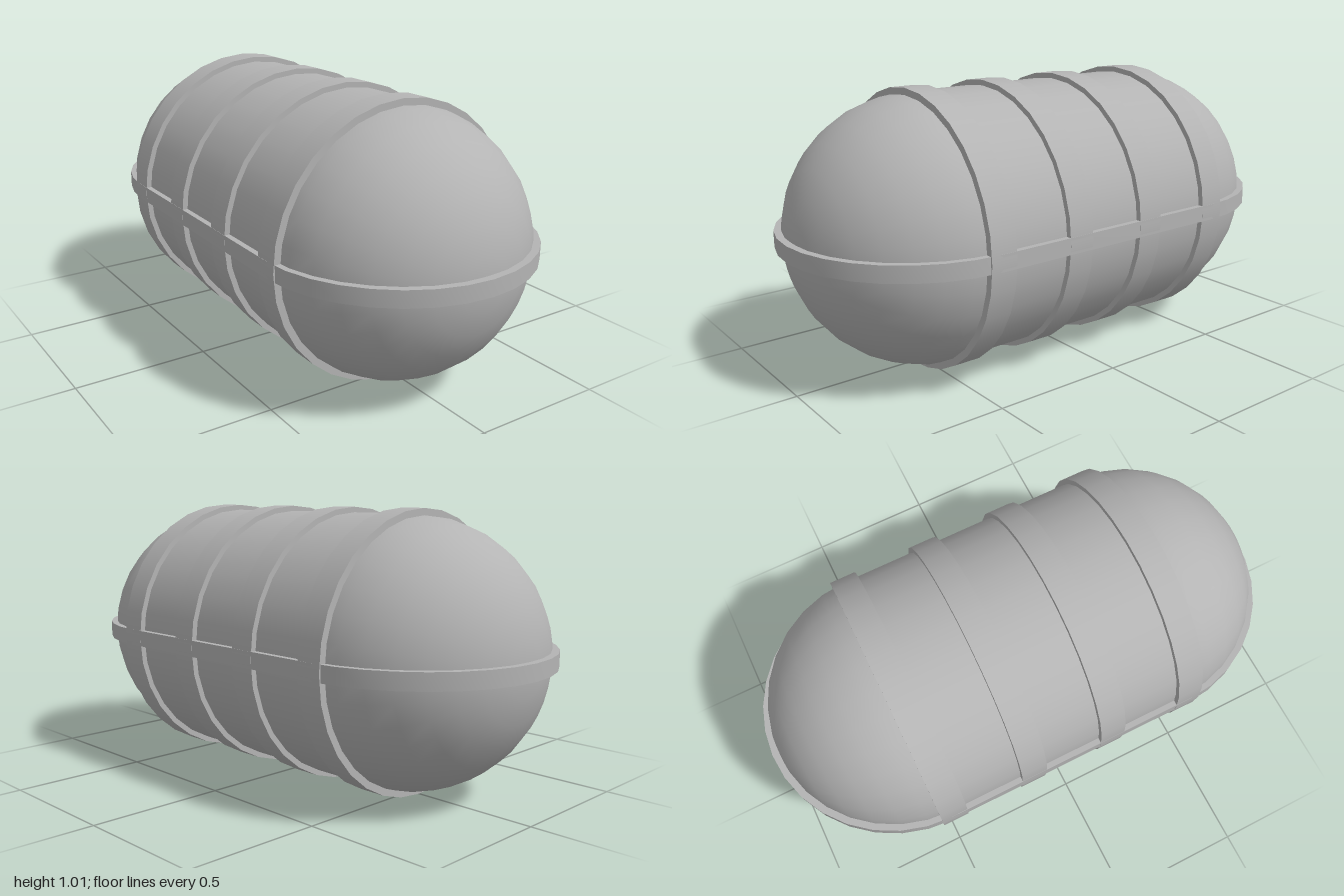
import * as THREE from 'three';
import { toCreasedNormals } from 'three/addons/utils/BufferGeometryUtils.js';

const CENTER_Y = 0.511;
const BODY_R = 0.487;
const BAND_R = 0.507;
const SIDES = 32;

export function createModel() {
  const group = new THREE.Group();
  const grey = new THREE.MeshStandardMaterial({ color: 0xb4b4b4 });
  grey.name = 'metalGrey';

  const add = (name, geometry, y, z) => {
    const mesh = new THREE.Mesh(geometry, grey);
    mesh.name = name;
    mesh.position.set(0, y, z);
    group.add(mesh);
  };

  // Tank: smooth capsule lying along z
  const tank = new THREE.CapsuleGeometry(BODY_R, 0.976, 8, SIDES);
  tank.rotateX(Math.PI / 2);
  add('tankBody', tank, CENTER_Y, 0);

  // Four raised hoops around the cylindrical part
  const hoop = new THREE.CylinderGeometry(BAND_R, BAND_R, 0.1, SIDES);
  hoop.rotateX(Math.PI / 2);
  for (let i = 0; i < 4; i++) {
    add('hoop' + (i + 1), hoop, CENTER_Y, -0.489 + i * 0.326);
  }

  // Horizontal belt: stadium outline with the tank's outline cut out
  const stadium = (path, r, z) => {
    path.absarc(0, z, r, 0, Math.PI, false);
    path.absarc(0, -z, r, Math.PI, Math.PI * 2, false);
    path.closePath();
    return path;
  };
  const outline = stadium(new THREE.Shape(), 0.505, 0.495);
  outline.holes.push(stadium(new THREE.Path(), 0.465, 0.488));
  const extruded = new THREE.ExtrudeGeometry(outline, { depth: 0.06, bevelEnabled: false, curveSegments: 8 });
  extruded.rotateX(-Math.PI / 2);
  add('belt', toCreasedNormals(extruded, 0.6), CENTER_Y - 0.03, 0);

  return group;
}
